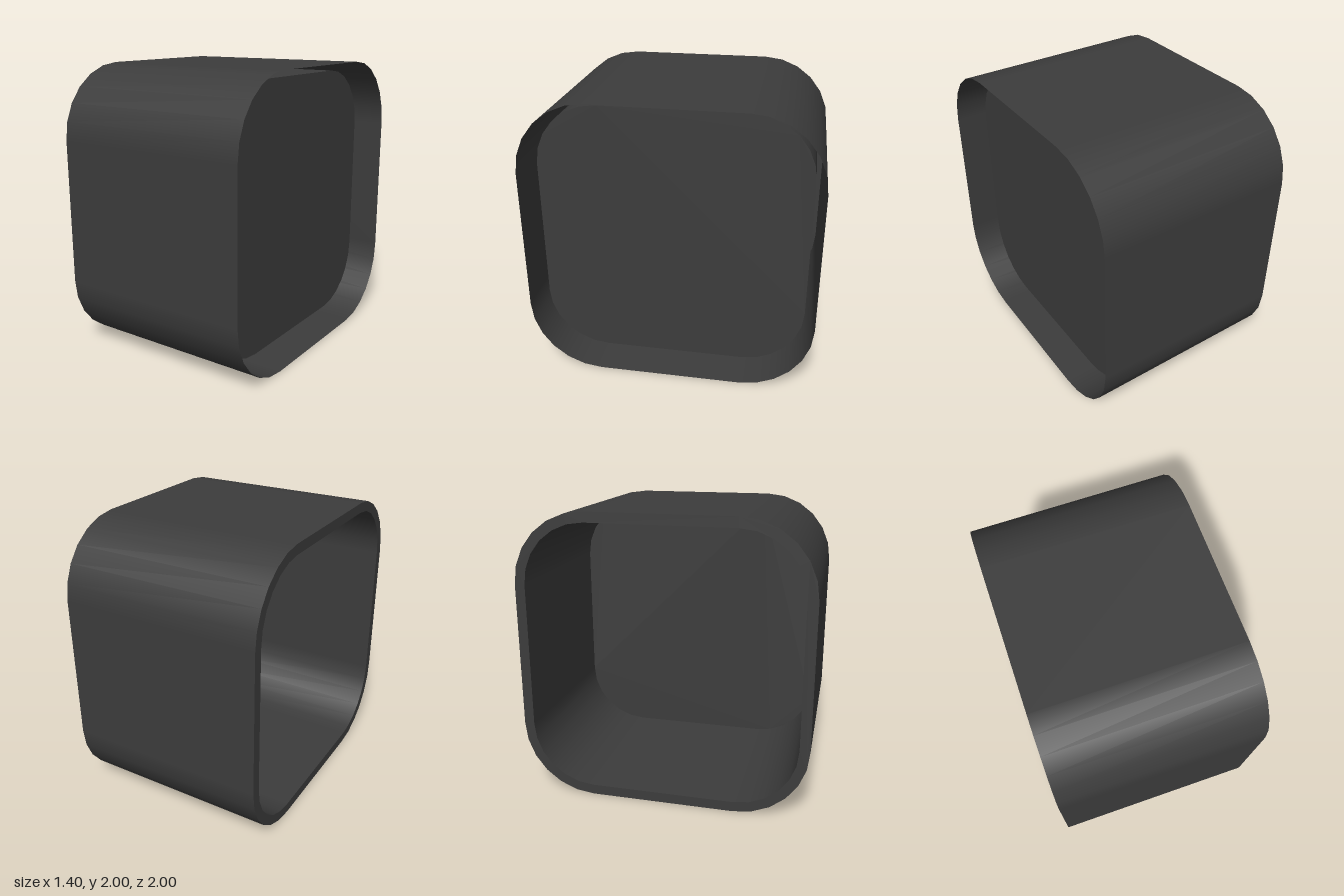
import * as THREE from 'three';

const STRAIGHT = 0.5; // half length of the flat sides
const STEPS = 6; // segments per rounded corner
const OUTER = 0.5, INNER = 0.43; // corner radii
const OPEN_X = -0.7, FLOOR_X = 0.5, BACK_X = 0.7;

const material = new THREE.MeshStandardMaterial({ color: 0x3c3c3c, side: THREE.DoubleSide });

// Points and outward normals round a rounded square, in the z-y plane
function section(radius) {
  const loop = [];
  for (let corner = 0; corner < 4; corner++) {
    const middle = (corner + 0.5) * Math.PI / 2;
    const cz = Math.sign(Math.cos(middle)) * STRAIGHT;
    const cy = Math.sign(Math.sin(middle)) * STRAIGHT;
    for (let i = 0; i <= STEPS; i++) {
      const a = (corner + i / STEPS) * Math.PI / 2;
      const nz = Math.cos(a), ny = Math.sin(a);
      loop.push({ z: cz + radius * nz, y: 1 + cy + radius * ny, nz, ny });
    }
  }
  return loop;
}

// Smooth wall from x0 to x1; it faces outward when x1 > x0, inward otherwise
function wall(radius, x0, x1) {
  const loop = section(radius), facing = Math.sign(x1 - x0);
  const positions = [], normals = [], index = [];
  loop.forEach((p, i) => {
    positions.push(x0, p.y, p.z, x1, p.y, p.z);
    for (let k = 0; k < 2; k++) normals.push(0, p.ny * facing, p.nz * facing);
    const a = 2 * i, b = 2 * ((i + 1) % loop.length);
    index.push(a, a + 1, b + 1, a, b + 1, b);
  });
  const geometry = new THREE.BufferGeometry();
  geometry.setAttribute('position', new THREE.Float32BufferAttribute(positions, 3));
  geometry.setAttribute('normal', new THREE.Float32BufferAttribute(normals, 3));
  geometry.setIndex(index);
  return geometry;
}

// Flat plate facing -x, optionally with a rounded square hole
function plate(radius, x, holeRadius) {
  const outline = r => section(r).map(p => new THREE.Vector2(p.z, p.y));
  const shape = new THREE.Shape(outline(radius));
  if (holeRadius) shape.holes.push(new THREE.Path(outline(holeRadius)));
  return new THREE.ShapeGeometry(shape).rotateY(-Math.PI / 2).translate(x, 0, 0);
}

export function createModel() {
  const group = new THREE.Group();
  const add = (name, geometry) => {
    const mesh = new THREE.Mesh(geometry, material);
    mesh.name = name;
    group.add(mesh);
  };

  add('outerShell', wall(OUTER, OPEN_X, BACK_X));
  add('rim', plate(OUTER, OPEN_X, INNER));
  // Cavity set inside the shell, with a gap all round
  add('cavityWall', wall(INNER, FLOOR_X, OPEN_X));
  add('cavityFloor', plate(INNER, FLOOR_X));
  return group;
}
